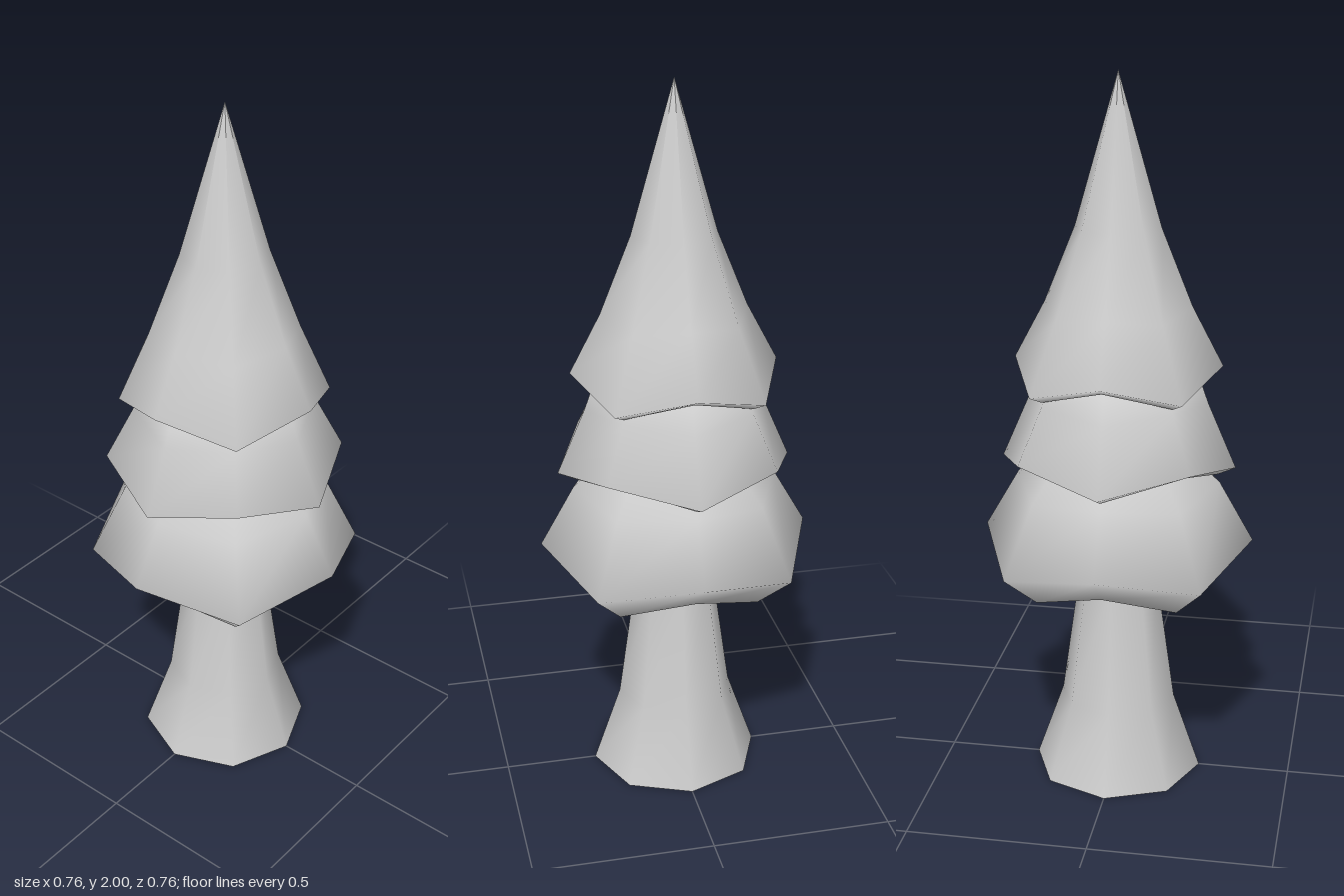
import * as THREE from 'three';

const SIDES = 8;
const material = new THREE.MeshStandardMaterial({ color: 0xcccccc, side: THREE.DoubleSide });

// Smooth octagonal shell through rings of [radius, y at even corners, y at odd corners]
function shell(name, rings) {
  const positions = [], index = [];
  rings.forEach(([r, yEven, yOdd = yEven], k) => {
    for (let i = 0; i < SIDES; i++) {
      const a = (i / SIDES) * Math.PI * 2;
      positions.push(r * Math.sin(a), i % 2 ? yOdd : yEven, r * Math.cos(a));
      if (k === 0) continue;
      const j = (i + 1) % SIDES, lo = (k - 1) * SIDES, hi = k * SIDES;
      index.push(lo + i, lo + j, hi + j);
      if (r > 0) index.push(lo + i, hi + j, hi + i);
    }
  });
  const geometry = new THREE.BufferGeometry();
  geometry.setAttribute('position', new THREE.Float32BufferAttribute(positions, 3));
  geometry.setIndex(index);
  geometry.computeVertexNormals();
  const mesh = new THREE.Mesh(geometry, material);
  mesh.name = name;
  return mesh;
}

// One layer of foliage: outer skin from the zigzag rim upward, plus a recessed underside
function foliageTier(name, skin, innerRing) {
  const tier = new THREE.Group();
  tier.name = name;
  tier.add(shell('foliageSkin', skin), shell('foliageUnderside', [innerRing, skin[0]]));
  return tier;
}

export function createModel() {
  const tree = new THREE.Group();
  tree.name = 'tree';

  // Flared hollow trunk
  tree.add(shell('trunk', [[0.24, 0], [0.163, 0.22], [0.11, 0.6], [0.1, 0.66], [0.08, 0.72]]));

  // Three overlapping tiers; the middle one has its zigzag reversed
  tree.add(foliageTier('lowerFoliage', [
    [0.275, 0.63, 0.57], [0.38, 0.72, 0.66], [0.285, 0.885, 0.86], [0.21, 0.95], [0.12, 1.0],
  ], [0.08, 0.7]));
  tree.add(foliageTier('middleFoliage', [
    [0.28, 0.908, 0.96], [0.328, 0.93, 0.98], [0.25, 1.11, 1.13], [0.225, 1.18], [0.12, 1.24],
  ], [0.18, 0.98]));
  tree.add(foliageTier('topFoliage', [
    [0.25, 1.2, 1.145], [0.288, 1.22, 1.163], [0.203, 1.38, 1.36], [0.118, 1.59], [0, 2],
  ], [0.17, 1.22]));

  return tree;
}
